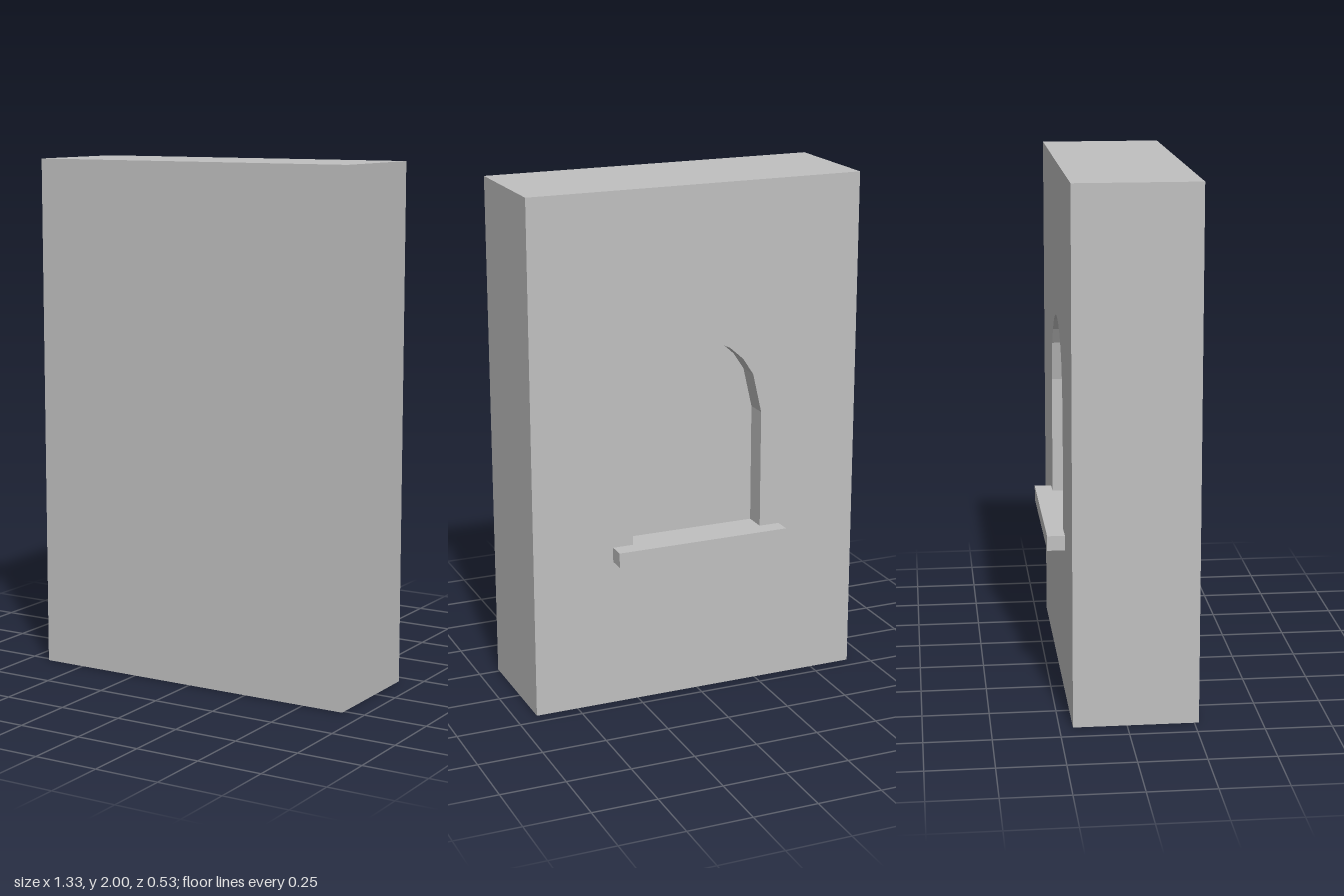
import * as THREE from 'three';

const W = 1.333, H = 2, FRONT = 0.267, BACK = -0.2;
const NICHE = { halfWidth: 0.266, floor: 0.637, spring: 1.1, rise: 0.31, depth: 0.087 };

export function createModel() {
  const model = new THREE.Group();
  const stone = new THREE.MeshStandardMaterial({ color: 0xc0c0c0 });
  stone.name = 'grey stone';

  const add = (name, geometry, x, y, z) => {
    const mesh = new THREE.Mesh(geometry, stone);
    mesh.name = name;
    mesh.position.set(x, y, z);
    model.add(mesh);
  };

  // Solid front part of the wall, ending at the back of the niche
  const nicheZ = BACK + NICHE.depth;
  add('wall', new THREE.BoxGeometry(W, H, FRONT - nicheZ), 0, H / 2, (FRONT + nicheZ) / 2);

  // Rear layer of the wall, pierced by the arched niche
  const layer = new THREE.Shape([
    new THREE.Vector2(-W / 2, 0), new THREE.Vector2(W / 2, 0),
    new THREE.Vector2(W / 2, H), new THREE.Vector2(-W / 2, H),
  ]);
  const arch = [new THREE.Vector2(-NICHE.halfWidth, NICHE.floor), new THREE.Vector2(NICHE.halfWidth, NICHE.floor)];
  for (const degrees of [0, 30, 45, 60, 75, 90, 105, 120, 135, 150, 180]) {
    const a = THREE.MathUtils.degToRad(degrees);
    arch.push(new THREE.Vector2(NICHE.halfWidth * Math.cos(a), NICHE.spring + NICHE.rise * Math.sin(a)));
  }
  layer.holes.push(new THREE.Path(arch));
  add('nicheSurround', new THREE.ExtrudeGeometry(layer, { depth: NICHE.depth, bevelEnabled: false }), 0, 0, BACK);

  // Sill projecting under the niche, level with its floor
  add('sill', new THREE.BoxGeometry(0.695, 0.057, 0.067), 0, NICHE.floor - 0.0285, BACK - 0.0335);

  return model;
}
